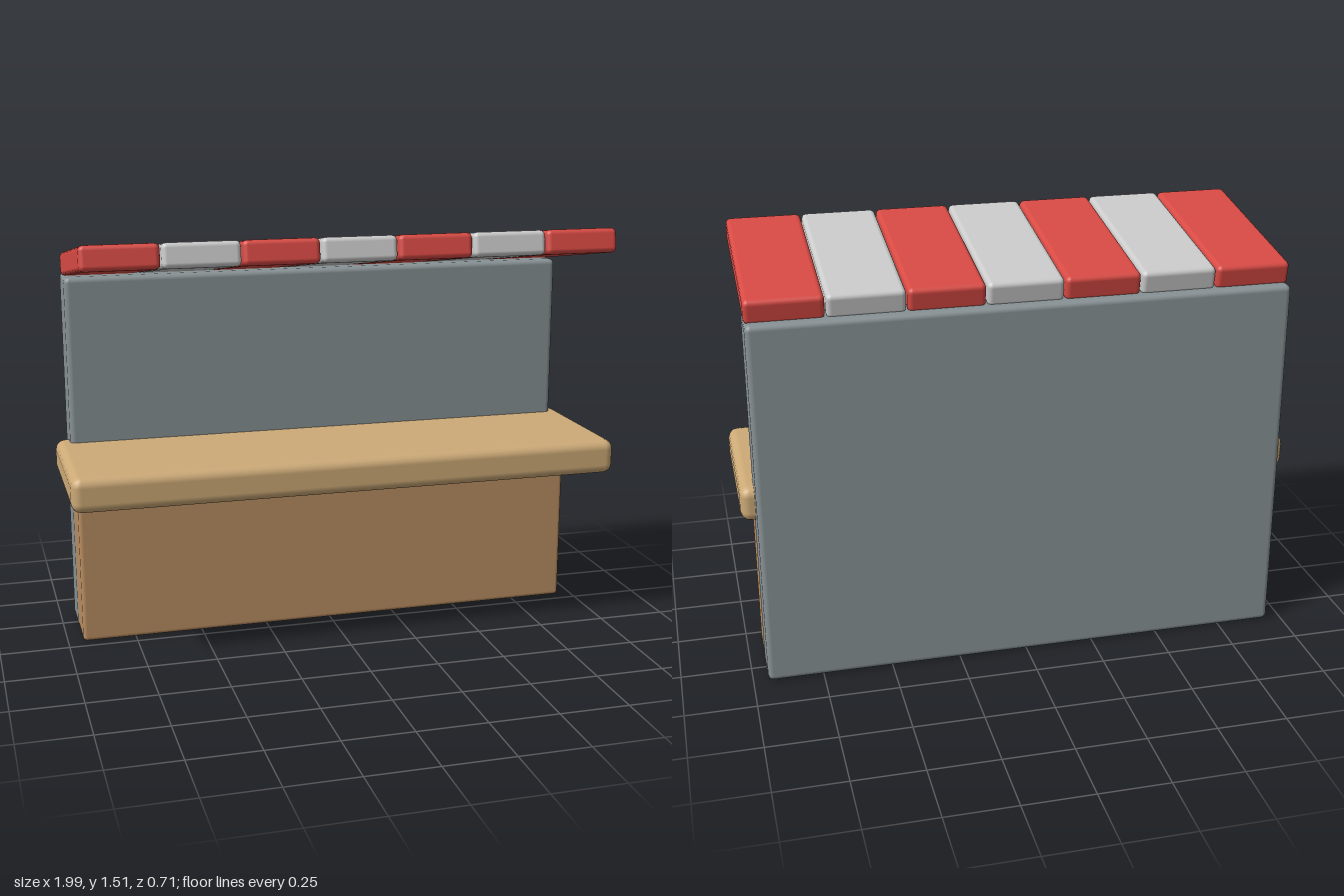
import * as THREE from 'three';
import { RoundedBoxGeometry } from 'three/addons/geometries/RoundedBoxGeometry.js';

const material = (color) => new THREE.MeshStandardMaterial({ color });

// Soft-edged block given by its [min, max] extents on each axis
function block(name, [x0, x1], [y0, y1], [z0, z1], radius, mat) {
  const geometry = new RoundedBoxGeometry(x1 - x0, y1 - y0, z1 - z0, 2, radius);
  const mesh = new THREE.Mesh(geometry, mat);
  mesh.name = name;
  mesh.position.set((x0 + x1) / 2, (y0 + y1) / 2, (z0 + z1) / 2);
  return mesh;
}

export function createModel() {
  const model = new THREE.Group();
  model.name = 'marketStall';

  // Tall back wall, counter base and overhanging counter top
  model.add(
    block('backWall', [-0.947, 0.947], [0, 1.332], [-0.355, -0.185], 0.02, material(0x879194)),
    block('counterBase', [-0.945, 0.945], [0.002, 0.64], [-0.215, -0.035], 0.015, material(0xb88d61)),
    block('counterTop', [-0.997, 0.997], [0.595, 0.722], [-0.28, 0.307], 0.035, material(0xcdaa77))
  );

  // Awning of alternating striped slats, tilted up towards the front
  const red = material(0xd94a44);
  const grey = material(0xcccccc);
  const slatGeometry = new RoundedBoxGeometry(0.267, 0.087, 0.68, 2, 0.018);
  const awning = new THREE.Group();
  awning.name = 'awning';
  awning.position.set(0, 1.417, 0.015);
  awning.rotation.x = -0.158;
  for (let i = 0; i < 7; i++) {
    const slat = new THREE.Mesh(slatGeometry, i % 2 ? grey : red);
    slat.name = `awningSlat${i + 1}`;
    slat.position.x = (i - 3) * 0.271;
    awning.add(slat);
  }
  model.add(awning);

  return model;
}
